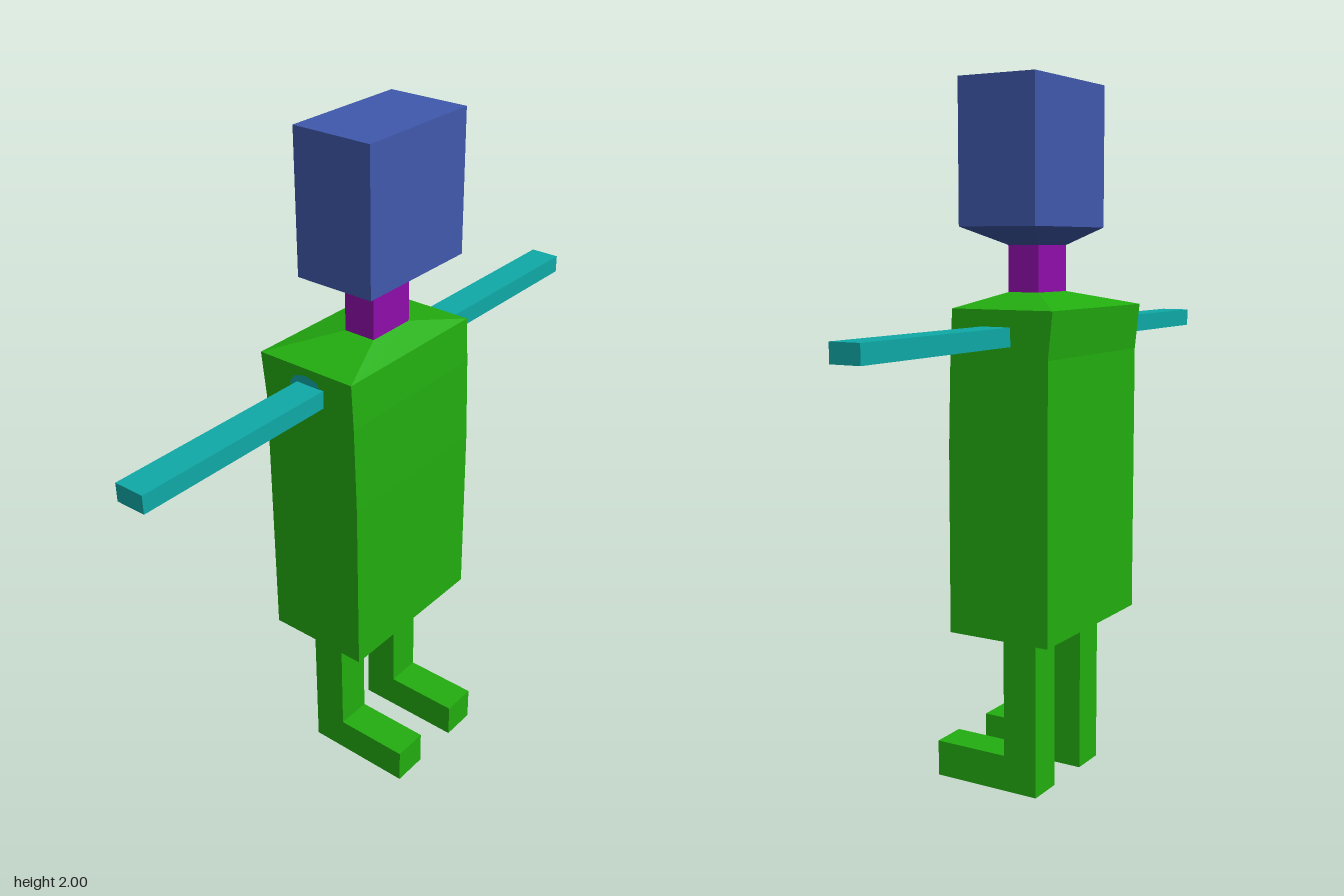
import * as THREE from 'three';

const material = (name, color) => {
  const m = new THREE.MeshStandardMaterial({ color });
  m.name = name;
  return m;
};

// Flat-faced solid through rectangular rings [y, xMin, xMax, halfDepth], bottom to top
function loft(rings) {
  const loops = rings.map(([y, a, b, d]) => [[a, y, d], [b, y, d], [b, y, -d], [a, y, -d]]);
  const pos = [];
  const quad = (a, b, c, d) => pos.push(...a, ...b, ...c, ...a, ...c, ...d);
  for (let k = 0; k < loops.length - 1; k++) {
    for (let i = 0; i < 4; i++) {
      const j = (i + 1) % 4;
      quad(loops[k][i], loops[k][j], loops[k + 1][j], loops[k + 1][i]);
    }
  }
  quad(...loops[0].slice().reverse());
  quad(...loops[loops.length - 1]);
  const g = new THREE.BufferGeometry();
  g.setAttribute('position', new THREE.Float32BufferAttribute(pos, 3));
  g.computeVertexNormals();
  return g;
}

export function createModel() {
  const group = new THREE.Group();
  const green = material('green', 0x23ae10);
  const teal = material('teal', 0x0faaa7);
  const blue = material('blue', 0x4059ad);
  const purple = material('purple', 0x900dab);
  const grey = material('grey', 0xb8b4b4);

  const add = (name, geometry, mat, x = 0, y = 0, z = 0) => {
    const mesh = new THREE.Mesh(geometry, mat);
    mesh.name = name;
    mesh.position.set(x, y, z);
    group.add(mesh);
    return mesh;
  };

  // Torso with slightly flared back and sloping shoulders
  add('torso', loft([
    [0.47, -0.2, 0.115, 0.256],
    [1.0, -0.2, 0.114, 0.256],
    [1.25, -0.2, 0.107, 0.256],
    [1.38, -0.214, 0.1, 0.256],
    [1.42, -0.067, 0.03, 0.077],
  ]), green);

  // Neck, and head with tapered underside
  add('neck', loft([[1.4, -0.067, 0.03, 0.077], [1.555, -0.067, 0.03, 0.077]]), purple);
  add('head', loft([
    [1.55, -0.067, 0.03, 0.077],
    [1.6, -0.125, 0.117, 0.195],
    [2, -0.125, 0.117, 0.195],
  ]), blue);
  const chin = add('chinPatch', new THREE.BoxGeometry(0.04, 0.004, 0.145), purple, 0.047, 1.559, 0);
  chin.rotation.z = Math.atan2(0.05, 0.087);

  // L-shaped legs with feet pointing along +x
  const legShape = new THREE.Shape([
    [-0.12, 0], [0.212, 0], [0.212, 0.105], [-0.015, 0.105], [-0.015, 0.475], [-0.12, 0.475],
  ].map(([x, y]) => new THREE.Vector2(x, y)));
  const legGeometry = new THREE.ExtrudeGeometry(legShape, { depth: 0.107, bevelEnabled: false });

  // Outstretched arms with grey undersides
  const armGeometry = new THREE.BoxGeometry(0.09, 0.052, 0.645);
  const armMaterials = [teal, teal, teal, grey, teal, teal];

  for (const [side, s] of [['left', 1], ['right', -1]]) {
    add(`${side}Leg`, legGeometry, green, 0, 0, s * 0.129 - 0.0535);
    add(`${side}Arm`, armGeometry, armMaterials, -0.04, 1.308, s * 0.5695);
  }

  // Painted patch around one shoulder joint
  const patch = add('shoulderPatch', new THREE.CircleGeometry(1, 8), teal, -0.055, 1.325, 0.258);
  patch.scale.set(0.055, 0.035, 1);

  return group;
}
